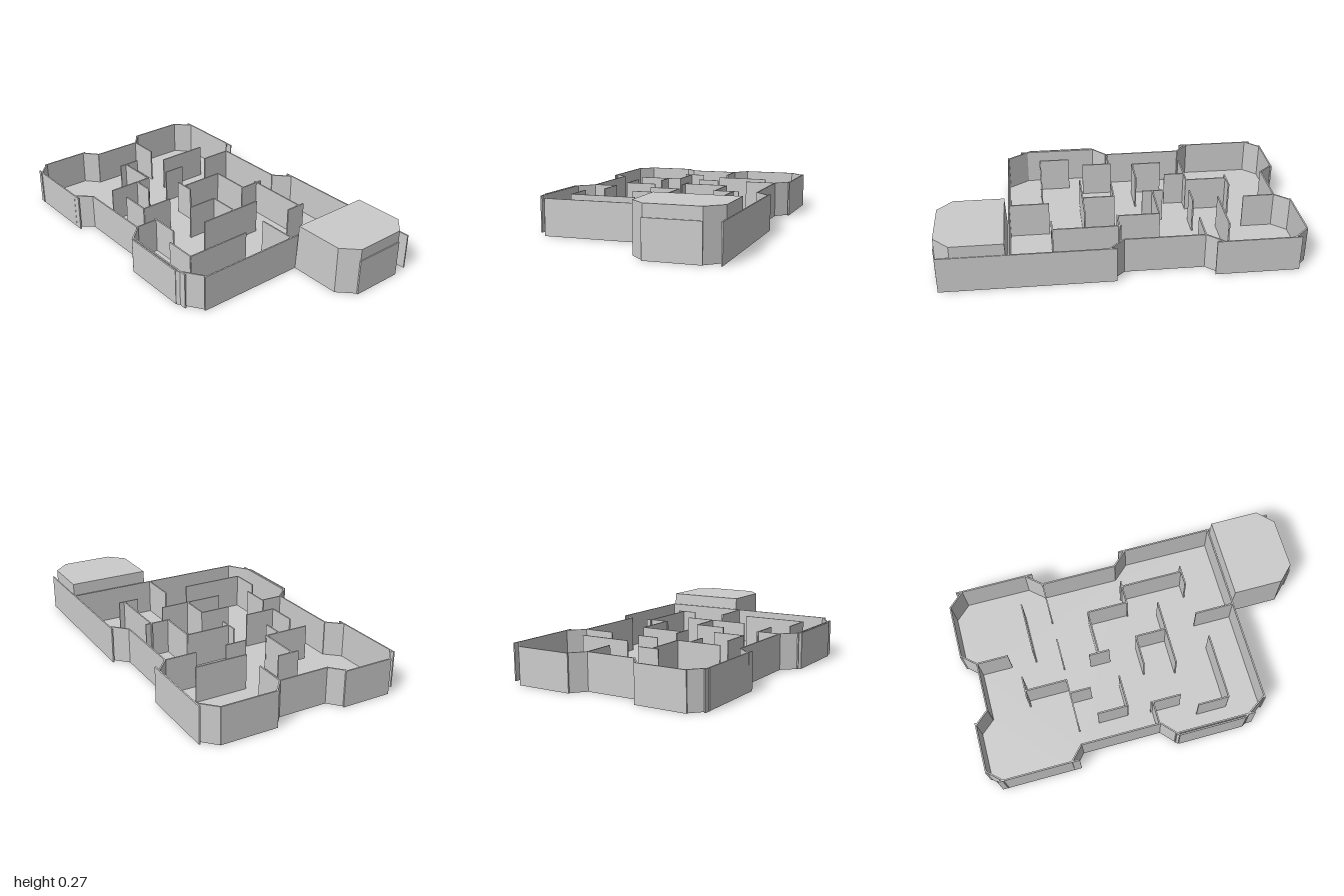
import * as THREE from 'three';

const H = 0.205, T = 0.008, ROOF = 0.272;

export function createModel() {
  const model = new THREE.Group();
  const mat = new THREE.MeshStandardMaterial({ color: 0xcccccc, flatShading: true, side: THREE.DoubleSide });

  const add = (parent, name, geometry) => {
    const mesh = new THREE.Mesh(geometry, mat);
    mesh.name = name;
    parent.add(mesh);
    return mesh;
  };

  // Upright panel standing between two plan points (x, z)
  const panel = (parent, name, [x1, z1, x2, z2]) => {
    const dx = x2 - x1, dz = z2 - z1;
    const mesh = add(parent, name, new THREE.BoxGeometry(Math.hypot(dx, dz), H, T));
    mesh.position.set((x1 + x2) / 2, H / 2, (z1 + z2) / 2);
    mesh.rotation.y = -Math.atan2(dz, dx);
  };

  // Plan points (x, z) to a shape that faces up after a -90 degree turn about x
  const planShape = (pts) => new THREE.Shape(pts.map(([x, z]) => new THREE.Vector2(x, -z)));

  // Floor slab
  const plan = [
    [-0.91, -0.58], [-0.52, -0.58], [-0.44, -0.505], [0, -0.505], [0.08, -0.588], [0.608, -0.588],
    [0.608, 0.5], [0.47, 0.587], [0.08, 0.587], [0, 0.495], [-0.455, 0.495], [-0.53, 0.577],
    [-0.91, 0.577], [-0.995, 0.5], [-0.995, 0.235], [-0.915, 0.165], [-0.915, -0.12],
    [-0.995, -0.19], [-0.995, -0.5],
  ];
  const slab = new THREE.ExtrudeGeometry(planShape(plan), { depth: 0.005, bevelEnabled: false });
  add(model, 'floor', slab.rotateX(-Math.PI / 2));

  // Outer walls, with the straight runs overlapping some corner panels
  const outer = new THREE.Group();
  outer.name = 'outerWalls';
  model.add(outer);
  [
    [-0.945, -0.583, -0.485, -0.583], [-0.525, -0.58, -0.44, -0.505], [-0.44, -0.505, 0, -0.505],
    [0, -0.505, 0.085, -0.585], [0.045, -0.588, 0.985, -0.588],
    [0.607, -0.588, 0.607, 0.51], [0.605, 0.497, 0.47, 0.587], [0.47, 0.587, 0.085, 0.587],
    [0.065, 0.574, 0.53, 0.574], [0.085, 0.587, 0, 0.495], [0, 0.495, -0.455, 0.495],
    [-0.455, 0.495, -0.53, 0.577], [-0.485, 0.575, -0.945, 0.575], [-0.91, 0.58, -0.995, 0.5],
    [-0.995, 0.51, -0.995, 0.22], [-0.995, 0.235, -0.915, 0.165], [-0.915, 0.17, -0.915, -0.12],
    [-0.915, -0.12, -0.995, -0.19], [-0.995, -0.18, -0.995, -0.5], [-0.995, -0.5, -0.91, -0.58],
    [0.995, -0.5, 0.995, -0.2],
  ].forEach((w) => panel(outer, 'outerWall', w));

  // Inner partitions
  const inner = new THREE.Group();
  inner.name = 'partitions';
  model.add(inner);
  [
    [-0.59, -0.41, -0.59, -0.11], [-0.44, -0.505, -0.44, -0.325], [-0.915, -0.12, -0.735, -0.12],
    [-0.44, -0.145, -0.44, -0.02], [-0.685, 0.025, -0.685, 0.15], [-0.685, 0.11, -0.445, 0.11],
    [-0.445, 0.105, -0.445, 0.37], [-0.445, 0.19, -0.325, 0.19], [-0.325, 0.347, -0.15, 0.347],
    [-0.15, 0.165, -0.15, 0.347], [-0.285, 0, -0.165, 0], [-0.226, -0.26, -0.226, 0],
    [-0.226, -0.26, 0.01, -0.26], [0.01, -0.4, 0.01, -0.25], [-0.005, -0.366, 0.375, -0.366],
    [0.375, -0.4, 0.375, -0.28], [0.185, -0.21, 0.185, 0.175], [0.005, -0.04, 0.185, -0.04],
    [0.005, -0.04, 0.005, 0.135], [0.38, -0.086, 0.605, -0.086], [0.413, 0.07, 0.413, 0.448],
    [0.235, 0.448, 0.413, 0.448], [-0.02, 0.365, 0.155, 0.365], [-0.006, 0.365, -0.006, 0.495],
  ].forEach((w) => panel(inner, 'partition', w));

  // Roofed annex: open underneath, its inner side leaning in towards the top
  const annex = new THREE.Group();
  annex.name = 'annex';
  model.add(annex);
  const base = [[0.612, -0.12], [0.908, -0.12], [0.993, -0.205], [0.993, -0.5], [0.908, -0.588], [0.612, -0.588]];
  const top = base.map(([x, z]) => [x < 0.7 ? 0.626 : x, z]);
  const pos = [];
  base.forEach(([x, z], i) => {
    const j = (i + 1) % base.length;
    const a = [x, 0, z], b = [base[j][0], 0, base[j][1]];
    const c = [top[j][0], ROOF, top[j][1]], d = [top[i][0], ROOF, top[i][1]];
    pos.push(...a, ...b, ...c, ...a, ...c, ...d);
  });
  const sides = new THREE.BufferGeometry();
  sides.setAttribute('position', new THREE.Float32BufferAttribute(pos, 3));
  sides.computeVertexNormals();
  add(annex, 'annexWalls', sides);
  add(annex, 'annexRoof', new THREE.ShapeGeometry(planShape(top)).rotateX(-Math.PI / 2)).position.y = ROOF;

  return model;
}
